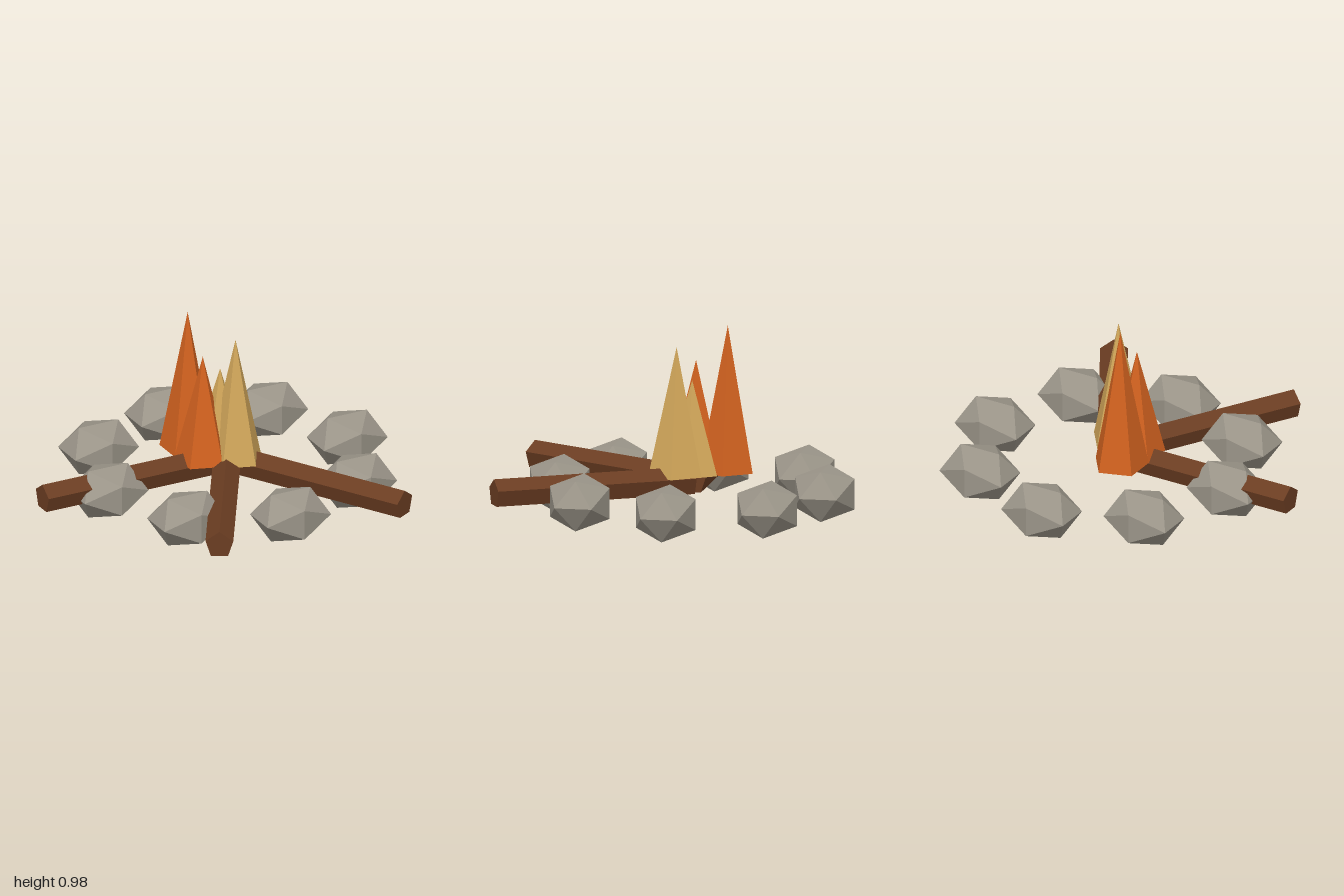
import * as THREE from 'three';

export function createModel() {
  const model = new THREE.Group();
  model.name = 'campfire';
  const CX = 0.1, CZ = -0.06; // middle of the fire ring

  const material = (name, color) => new THREE.MeshStandardMaterial({ name, color, flatShading: true });
  const stoneGrey = material('stone grey', 0x9a9488);
  const barkBrown = material('bark brown', 0x6b3d22);
  const flameOrange = material('flame orange', 0xd2621f);
  const flameYellow = material('flame yellow', 0xd2a75a);

  const add = (name, geometry, mat, x, y, z) => {
    const mesh = new THREE.Mesh(geometry, mat);
    mesh.name = name;
    mesh.position.set(x, y, z);
    model.add(mesh);
    return mesh;
  };

  // Ring of eight squashed stones, all facing the same way
  const stone = new THREE.IcosahedronGeometry(0.222, 0).scale(1, 0.705, 0.845);
  for (let i = 0; i < 8; i++) {
    const a = (i * Math.PI) / 4;
    add('stone', stone, stoneGrey, CX + 0.71 * Math.cos(a), 0.1335, CZ + 0.71 * Math.sin(a));
  }

  // Three five-sided logs meeting in the middle, one edge on top
  const length = 1.1;
  const log = new THREE.CylinderGeometry(0.077, 0.077, length, 5)
    .rotateX(-Math.PI / 2)
    .translate(0, 0, -length / 2);
  for (const degrees of [90, 150, 210]) {
    add('log', log, barkBrown, CX, 0.172, CZ).rotation.y = THREE.MathUtils.degToRad(degrees);
  }

  // Flames: five-sided cones with a corner towards +x
  const flame = (name, mat, x, z, top) => {
    const base = 0.2, height = top - base;
    const cone = new THREE.ConeGeometry(0.15, height, 5).rotateY(Math.PI / 2);
    add(name, cone, mat, x, base + height / 2, z);
  };
  flame('tallOrangeFlame', flameOrange, -0.053, -0.22, 0.98);
  flame('shortOrangeFlame', flameOrange, -0.053, -0.05, 0.79);
  flame('tallYellowFlame', flameYellow, 0.103, 0.023, 0.885);
  flame('shortYellowFlame', flameYellow, 0.05, -0.05, 0.7);

  return model;
}
